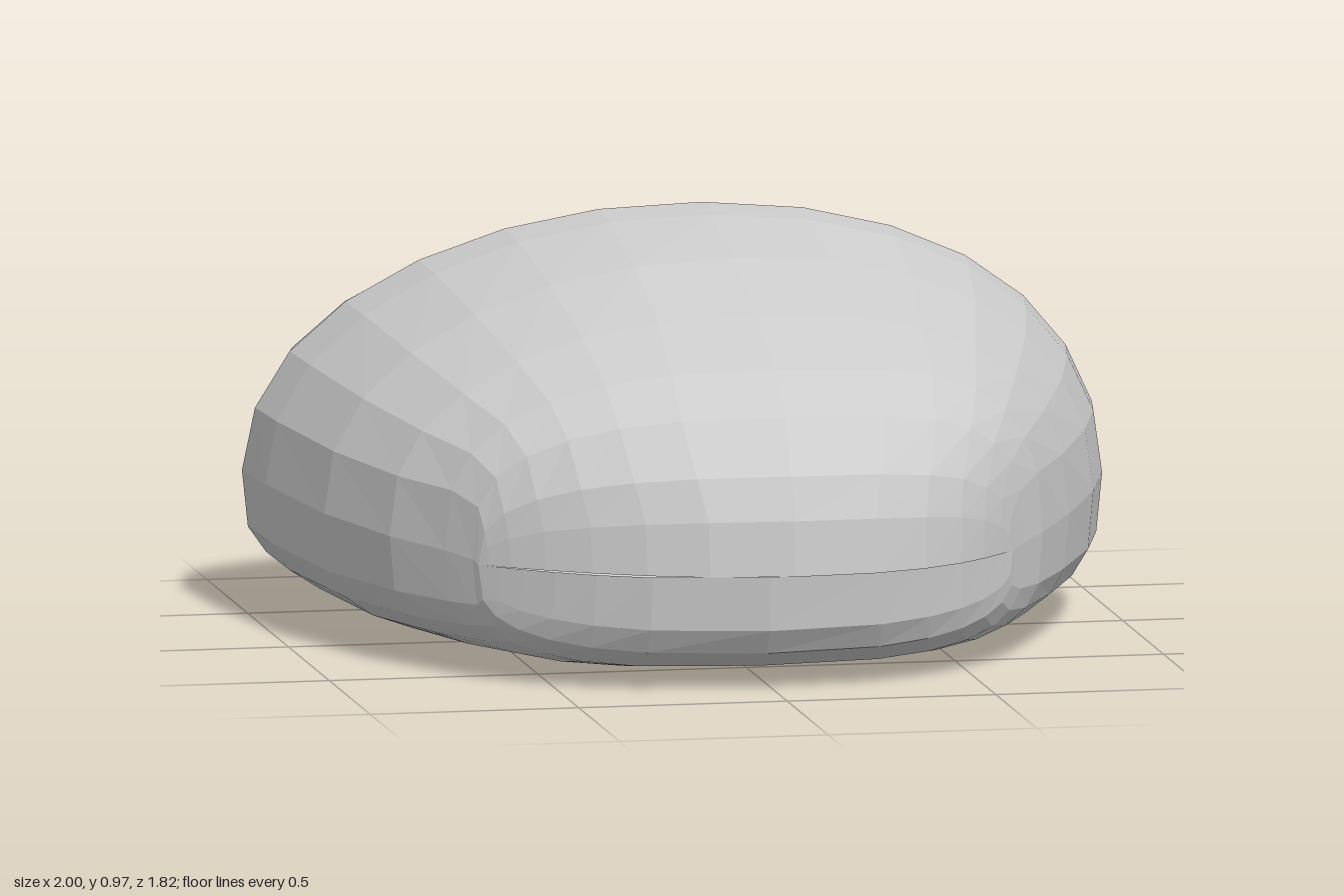
import * as THREE from 'three';

// Cross-sections from the open mouth (back) to the toe (front):
// [left x, left z, right x, right z, mid y, top y, bottom y, top z shift, upper squareness, forward bow]
// The last one is flat and closes the bowed toe wall.
const SECTIONS = [
  [-0.72, -0.91, 0.80, -0.63, 0.30, 0.75, 0.27, 0.085, 2.4, 0],
  [-0.87, -0.82, 0.90, -0.54, 0.31, 0.85, 0.15, 0.11, 2.3, 0],
  [-0.96, -0.73, 0.96, -0.42, 0.32, 0.93, 0.065, 0.11, 2.2, 0],
  [-1.00, -0.57, 1.00, -0.29, 0.33, 0.97, 0.02, 0.07, 2.1, 0],
  [-0.985, -0.36, 0.98, -0.15, 0.33, 0.96, 0.005, 0.02, 2.1, 0],
  [-0.92, 0.03, 0.92, 0.05, 0.32, 0.90, 0.0, 0.0, 2.2, 0],
  [-0.82, 0.32, 0.81, 0.31, 0.31, 0.81, 0.01, 0.0, 2.4, 0.02],
  [-0.72, 0.49, 0.71, 0.50, 0.30, 0.72, 0.02, 0.0, 2.8, 0.08],
  [-0.67, 0.57, 0.65, 0.58, 0.29, 0.63, 0.04, 0.0, 3.0, 0.145],
  [-0.66, 0.59, 0.62, 0.62, 0.28, 0.51, 0.09, 0.0, 2.8, 0.245],
  [-0.655, 0.595, 0.615, 0.63, 0.28, 0.41, 0.15, 0.0, 2.6, 0.28],
  [-0.65, 0.60, 0.61, 0.635, 0.28, 0.28, 0.28, 0.0, 2.6, 0.29],
];
const SIDES = 28;
const LOWER_SQUARENESS = 3.6;
const CROWN_SHIFT = 0.06; // the crown sits slightly off centre

const signedPow = (v, p) => Math.sign(v) * Math.pow(Math.abs(v), p);

// Superellipse point on a section whose width line may be slanted and bowed in plan
function sectionPoint([lx, lz, rx, rz, mid, top, bottom, lean, square, bow], j) {
  const angle = (j / SIDES) * Math.PI * 2;
  const s = Math.sin(angle);
  const power = 2 / (s >= 0 ? square : LOWER_SQUARENESS);
  const u = signedPow(Math.cos(angle), power);
  const v = signedPow(s, power);
  const up = Math.max(v, 0);
  const t = (u + 1) / 2;
  return [
    lx + (rx - lx) * t + CROWN_SHIFT * up * (1 - u ** 4),
    mid + v * (v > 0 ? top - mid : mid - bottom),
    lz + (rz - lz) * t + Math.pow(up, 0.65) * lean + bow * (1 - Math.pow(Math.abs(u), 2.2)),
  ];
}

function shellGeometry() {
  const positions = [];
  const index = [];
  for (const section of SECTIONS) {
    for (let j = 0; j < SIDES; j++) positions.push(...sectionPoint(section, j));
  }
  for (let i = 0; i < SECTIONS.length - 1; i++) {
    for (let j = 0; j < SIDES; j++) {
      const a = i * SIDES + j, b = i * SIDES + ((j + 1) % SIDES);
      index.push(a, b, b + SIDES, a, b + SIDES, a + SIDES);
    }
  }
  const geometry = new THREE.BufferGeometry();
  geometry.setAttribute('position', new THREE.Float32BufferAttribute(positions, 3));
  geometry.setIndex(index);
  geometry.computeVertexNormals();
  return geometry;
}

export function createModel() {
  const group = new THREE.Group();
  group.name = 'hollowToeCap';
  // Thin open shell, visible inside through the mouth
  const shell = new THREE.Mesh(
    shellGeometry(),
    new THREE.MeshStandardMaterial({ color: 0xcccccc, flatShading: true, side: THREE.DoubleSide })
  );
  shell.name = 'shell';
  group.add(shell);
  return group;
}
